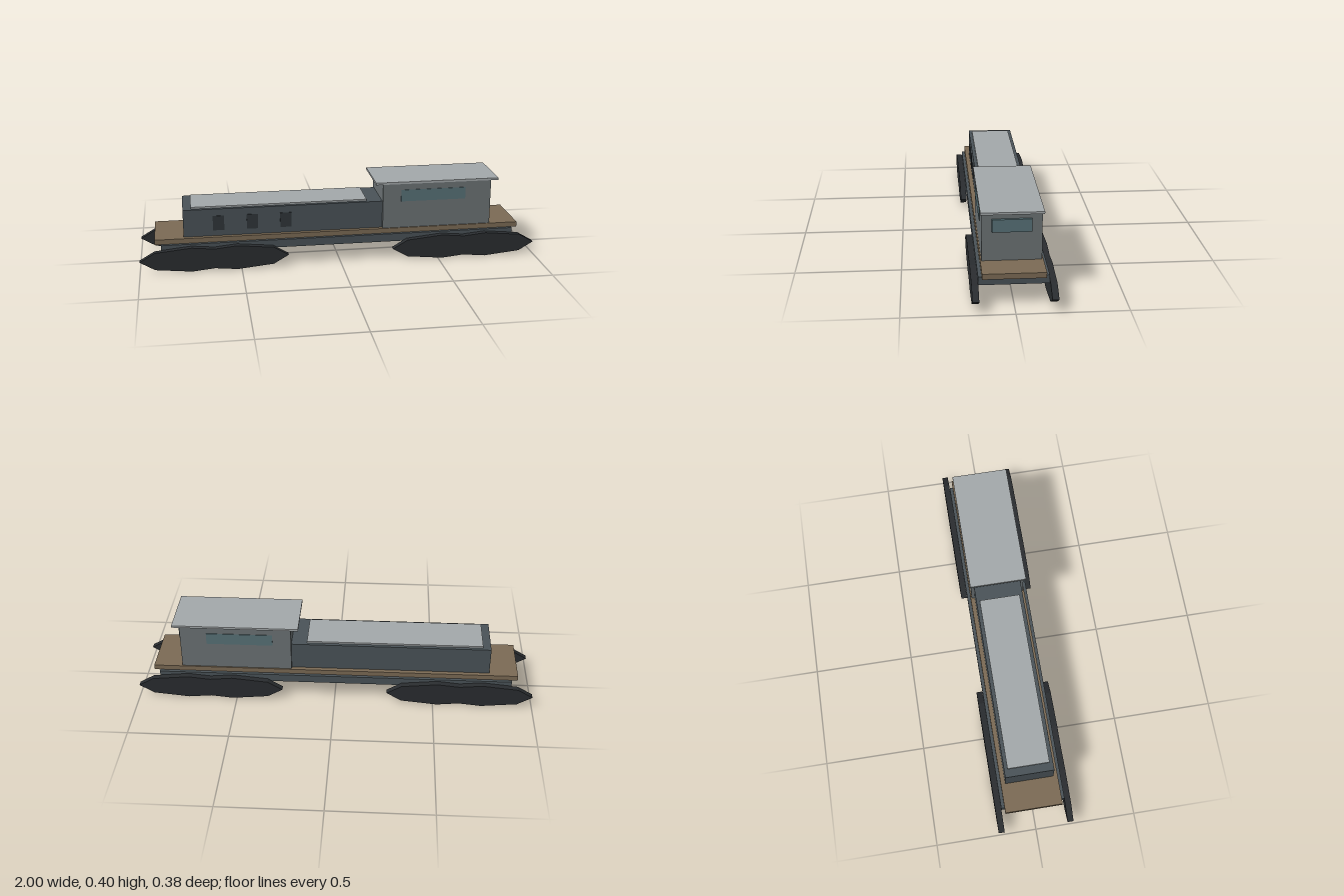
import * as THREE from 'three';

const mat = (color) => new THREE.MeshStandardMaterial({ color, flatShading: true });

export function createModel() {
  const model = new THREE.Group();
  const steel = mat(0x4a5358);
  const paint = mat(0x6c7375);
  const timber = mat(0x7c6b55);
  const lightMetal = mat(0xa4a9ab);
  const glass = mat(0x587278);
  const dark = mat(0x30363a);
  const rubber = mat(0x2a2d30);

  // Box given by its limits along each axis
  function box(name, material, [x0, x1], [y0, y1], [z0, z1]) {
    const mesh = new THREE.Mesh(new THREE.BoxGeometry(x1 - x0, y1 - y0, z1 - z0), material);
    mesh.position.set((x0 + x1) / 2, (y0 + y1) / 2, (z0 + z1) / 2);
    mesh.name = name;
    model.add(mesh);
  }

  // Hull and deck
  box('chassis', steel, [-0.893, 0.893], [0.093, 0.133], [-0.158, 0.158]);
  box('deck', timber, [-0.923, 0.923], [0.132, 0.158], [-0.142, 0.142]);

  // Long low housing with its cover and side vents
  box('housing', steel, [-0.78, 0.22], [0.158, 0.297], [-0.12, 0.12]);
  box('housingCover', lightMetal, [-0.74, 0.142], [0.297, 0.306], [-0.103, 0.103]);
  for (const x of [-0.606, -0.438, -0.271]) {
    box('vent', dark, [x - 0.028, x + 0.028], [0.187, 0.262], [0.117, 0.123]);
  }

  // Cabin, roof and windows
  box('cabin', paint, [0.22, 0.778], [0.158, 0.389], [-0.136, 0.136]);
  box('cabinRoof', lightMetal, [0.183, 0.815], [0.389, 0.4], [-0.142, 0.142]);
  box('endWindow', glass, [0.77, 0.791], [0.297, 0.357], [-0.09, 0.09]);
  box('leftWindow', glass, [0.313, 0.645], [0.297, 0.357], [0.13, 0.139]);
  box('rightWindow', glass, [0.313, 0.645], [0.297, 0.357], [-0.139, -0.13]);

  // Four running units, each of two overlapping flattened octagons
  const octagon = new THREE.CylinderGeometry(1, 1, 0.03, 8);
  octagon.rotateX(Math.PI / 2);
  octagon.scale(0.255, 0.0618, 1);
  for (const sx of [-1, 1]) {
    for (const sz of [-1, 1]) {
      const unit = new THREE.Group();
      unit.name = 'runningUnit';
      for (const x of [0.52, 0.745]) {
        const wheel = new THREE.Mesh(octagon, rubber);
        wheel.name = 'flattenedWheel';
        wheel.position.set(sx * x, 0.0618, sz * 0.173);
        unit.add(wheel);
      }
      model.add(unit);
    }
  }
  return model;
}
